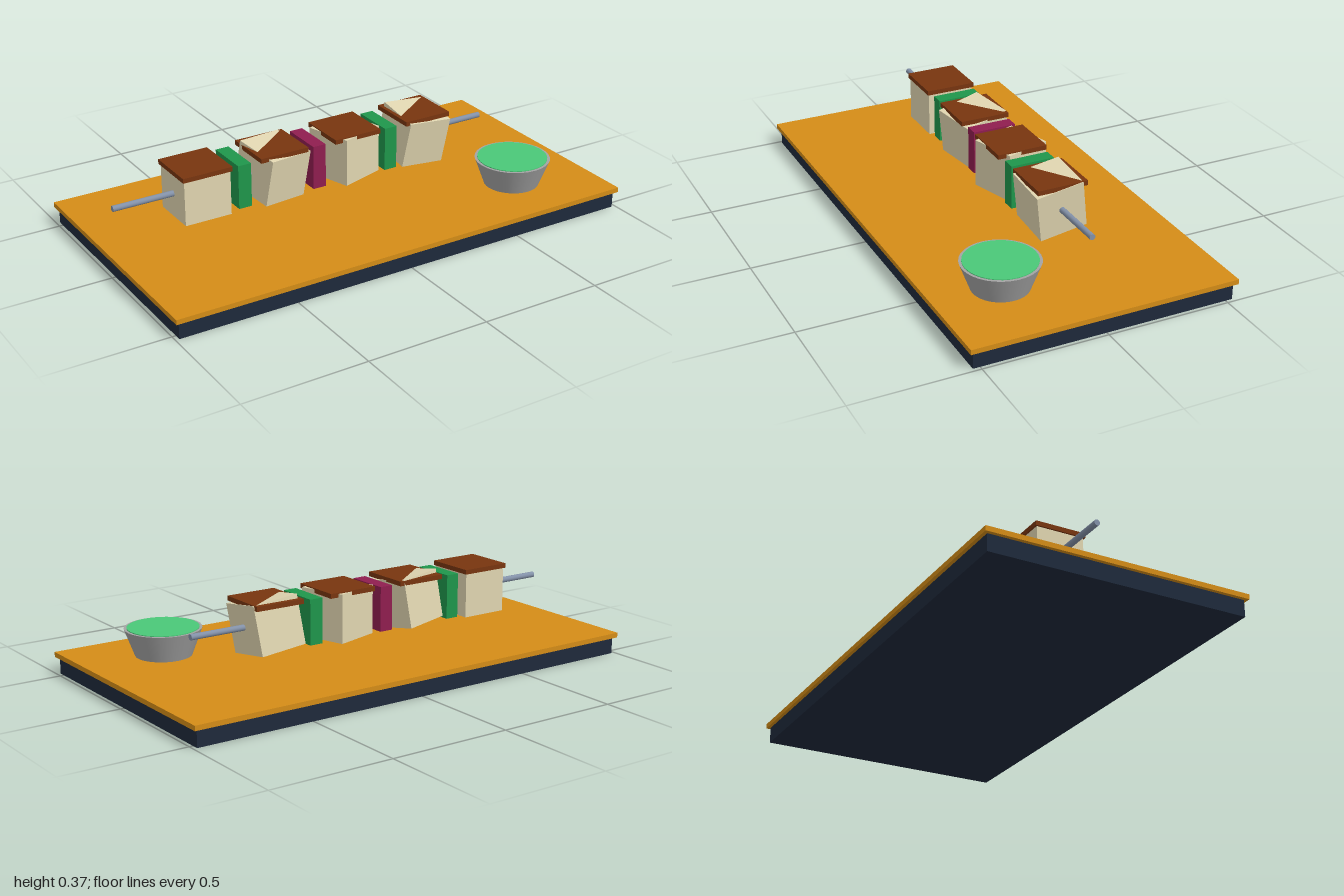
import * as THREE from 'three';

const mat = (color) => new THREE.MeshStandardMaterial({ color });

function add(parent, name, geometry, material, x, y, z, rotation = [0, 0, 0]) {
  const mesh = new THREE.Mesh(geometry, material);
  mesh.name = name;
  mesh.position.set(x, y, z);
  mesh.rotation.set(...rotation);
  parent.add(mesh);
  return mesh;
}

export function createModel() {
  const model = new THREE.Group();
  model.name = 'skewerBoard';

  // Dark base with an overhanging board on top
  add(model, 'base', new THREE.BoxGeometry(1.97, 0.068, 1.056), mat(0x1e293b), 0, 0.034, 0);
  add(model, 'boardTop', new THREE.BoxGeometry(2, 0.02, 1.084), mat(0xd48c17), 0, 0.078, 0);

  // Skewer: a thin rod carrying all the pieces along x
  const skewer = new THREE.Group();
  skewer.name = 'skewer';
  skewer.position.set(0, 0.247, -0.07);
  model.add(skewer);
  add(skewer, 'rod', new THREE.CylinderGeometry(0.012, 0.012, 1.69, 16), mat(0x8391a8),
    -0.107, 0, 0, [0, 0, Math.PI / 2]);

  // Cubes, each turned a little differently under a level browned slab
  const spacing = 0.335;
  const cubeGeometry = new THREE.BoxGeometry(0.197, 0.197, 0.197);
  const slabGeometry = new THREE.BoxGeometry(0.21, 0.019, 0.21);
  const cream = mat(0xe0d5b0), brown = mat(0x78350f);
  const turns = [[0, 0, 0], [0.15, 0.2, -0.1], [0, 0.3, 0], [0.15, 0, -0.1]];
  turns.forEach((turn, i) => {
    const x = -0.6 + i * spacing;
    add(skewer, 'cube' + (i + 1), cubeGeometry, cream, x, 0, 0, turn);
    add(skewer, 'brownedTop' + (i + 1), slabGeometry, brown, x, 0.0935, 0);
  });

  // Vegetable slices between the cubes
  const sliceGeometry = new THREE.BoxGeometry(0.056, 0.182, 0.182);
  const green = mat(0x1f964b), purple = mat(0x8f1d4f);
  [green, purple, green].forEach((material, i) => {
    add(skewer, 'vegetableSlice' + (i + 1), sliceGeometry, material, -0.436 + i * spacing, 0, 0);
  });

  // Tapered dip bowl with a disc of sauce just above its rim
  const bowl = new THREE.Group();
  bowl.name = 'dipBowl';
  bowl.position.set(0.665, 0.088, 0.266);
  model.add(bowl);
  add(bowl, 'bowl', new THREE.CylinderGeometry(0.153, 0.112, 0.11, 32), mat(0xa3a3a3), 0, 0.055, 0);
  add(bowl, 'sauce', new THREE.CylinderGeometry(0.142, 0.142, 0.01, 32), mat(0x4ac878), 0, 0.108, 0);

  return model;
}
